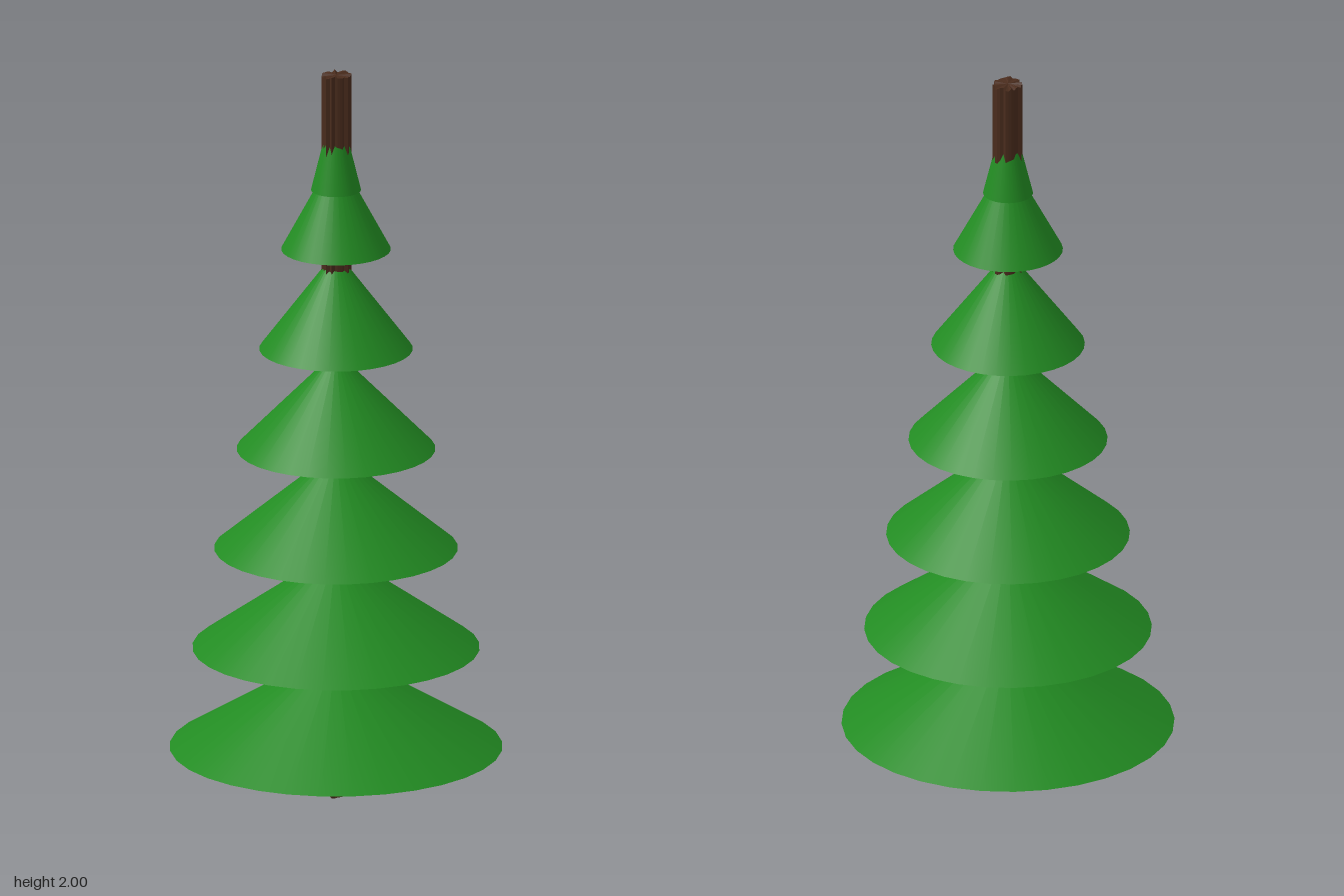
import * as THREE from 'three';

// Small seeded generator, returns -1..1
function seeded(seed) {
  let s = seed;
  return () => {
    s = (s * 16807) % 2147483647;
    return (s / 2147483647) * 2 - 1;
  };
}

// Trunk: a cylinder with bark ridges running its full length and ragged ends
function makeTrunk() {
  const sides = 32, radius = 0.038, bottom = 0, top = 2;
  const rand = seeded(77);
  const ridge = Array.from({ length: sides }, () => radius + rand() * 0.004);
  const ragged = Array.from({ length: sides }, () => Math.abs(rand()) * 0.01);
  ragged[0] = 0;
  const geo = new THREE.CylinderGeometry(1, 1, 2, sides, 1);
  const pos = geo.attributes.position;
  for (let i = 0; i < pos.count; i++) {
    const x = pos.getX(i), z = pos.getZ(i), upper = pos.getY(i) > 0;
    if (Math.hypot(x, z) < 0.5) {
      pos.setY(i, upper ? top - 0.005 : bottom + 0.005);
      continue;
    }
    const k = (Math.round((Math.atan2(x, z) / (Math.PI * 2)) * sides) + sides) % sides;
    pos.setXYZ(i, x * ridge[k], upper ? top - ragged[k] : bottom + ragged[k], z * ridge[k]);
  }
  geo.computeVertexNormals();
  const mesh = new THREE.Mesh(
    geo,
    new THREE.MeshStandardMaterial({ color: 0x4a2c1d, flatShading: true })
  );
  mesh.name = 'trunk';
  return mesh;
}

export function createModel() {
  const tree = new THREE.Group();
  tree.name = 'pineTree';
  tree.add(makeTrunk());

  // Foliage tiers: [base height, base radius], all equally tall
  const green = new THREE.MeshStandardMaterial({ color: 0x228b22 });
  const tierHeight = 0.27;
  const tiers = [
    [0.135, 0.44], [0.41, 0.38], [0.685, 0.322], [0.96, 0.263],
    [1.237, 0.203], [1.513, 0.145], [1.677, 0.066],
  ];
  tiers.forEach(([y, radius], i) => {
    const cone = new THREE.Mesh(new THREE.ConeGeometry(radius, tierHeight, 32), green);
    cone.position.y = y + tierHeight / 2;
    cone.name = `foliageTier${i + 1}`;
    tree.add(cone);
  });
  return tree;
}
